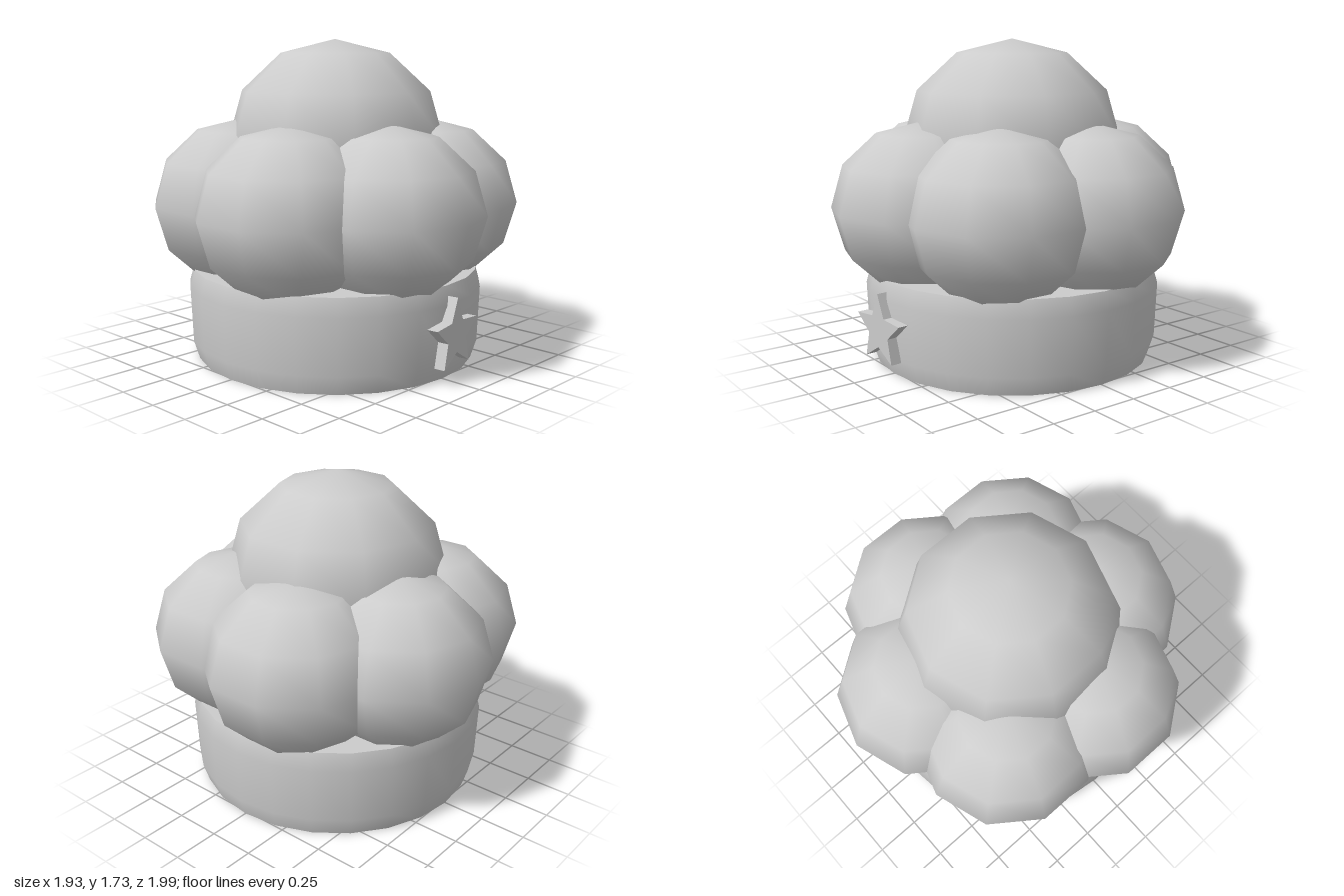
import * as THREE from 'three';

export function createModel() {
  const hat = new THREE.Group();
  hat.name = 'chefHat';
  const cloth = new THREE.MeshStandardMaterial({ color: 0xcccccc });
  cloth.name = 'lightGrey';

  const add = (name, geometry, parent = hat) => {
    const mesh = new THREE.Mesh(geometry, cloth);
    mesh.name = name;
    parent.add(mesh);
    return mesh;
  };

  // Slightly squashed ball of cloth, with a vertex column facing the front
  const puff = (name, radius, x, y, z) => {
    const geometry = new THREE.SphereGeometry(radius, 10, 6);
    geometry.rotateY(Math.PI / 2).scale(1, 0.925, 1);
    add(name, geometry).position.set(x, y, z);
  };

  // Head band: bulging wall closed by flat caps
  const band = new THREE.Group();
  band.name = 'headBand';
  hat.add(band);
  const profile = [[0.768, 0], [0.8, 0.1], [0.812, 0.4], [0.785, 0.495]]
    .map(([r, y]) => new THREE.Vector2(r, y));
  add('bandWall', new THREE.LatheGeometry(profile, 24), band);
  add('bandBottom', new THREE.CircleGeometry(0.768, 24).rotateX(Math.PI / 2), band);
  add('bandTop', new THREE.CircleGeometry(0.785, 24).rotateX(-Math.PI / 2), band).position.y = 0.495;

  // Ring of six puffs and the large one on top
  for (let i = 0; i < 6; i++) {
    const a = THREE.MathUtils.degToRad(43 + i * 60);
    puff('puff' + (i + 1), 0.5, 0.51 * Math.cos(a), 0.84, 0.51 * Math.sin(a));
  }
  puff('crownPuff', 0.6, 0, 1.175, 0);

  // Star badge, turned slightly towards the left
  const star = new THREE.Shape();
  for (let i = 0; i < 10; i++) {
    const r = i % 2 ? 0.088 : 0.195;
    const a = Math.PI / 2 + (i * Math.PI) / 5;
    star[i ? 'lineTo' : 'moveTo'](r * Math.cos(a), r * Math.sin(a));
  }
  star.closePath();
  const badge = add('starBadge', new THREE.ExtrudeGeometry(star, { depth: 0.06, bevelEnabled: false }));
  badge.position.set(-0.004, 0.25, 0.797);
  badge.rotation.y = 0.09;

  return hat;
}
